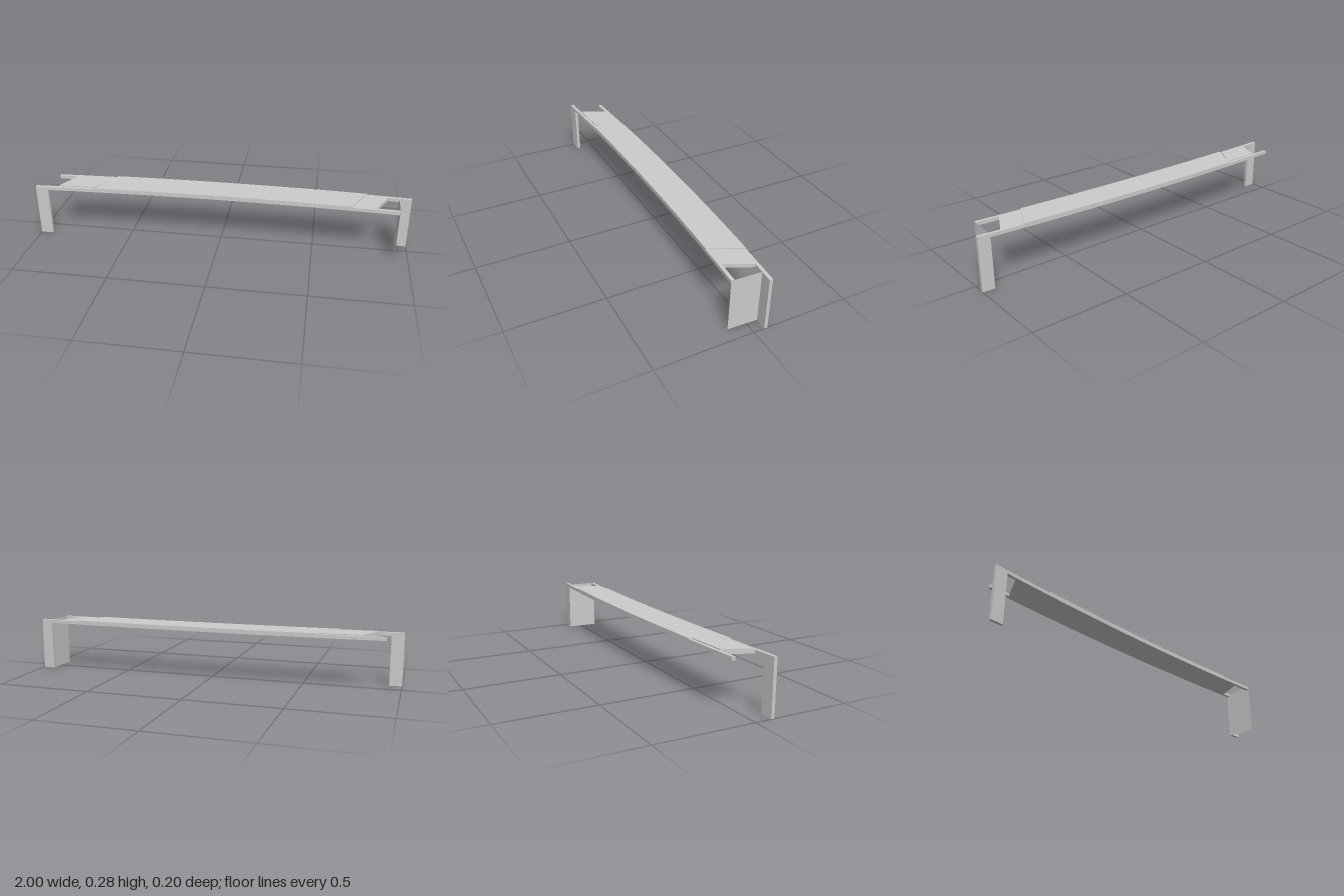
import * as THREE from 'three';

const material = new THREE.MeshStandardMaterial({ color: 0xcccccc, flatShading: true, side: THREE.DoubleSide });

// Plan curves of the gently bowed bridge, z as a function of x
const BEAM = 0.017;
const frontOuter = x => 0.07 + 0.03 * x * x;
const frontInner = x => frontOuter(x) - BEAM;
const backOuter = x => -0.1 + 0.03 * x * x;
const backInner = x => backOuter(x) + BEAM;

// Heights
const SOFFIT = 0.262, ROAD = 0.28, TOP = 0.285;

// Solid between two plan curves, each with its own x range, so ends may be skewed
function band(name, front, [f0, f1], back, [b0, b1], y0, y1, steps = 16) {
  const points = [];
  for (let i = 0; i <= steps; i++) {
    const x = f0 + (f1 - f0) * i / steps;
    points.push(new THREE.Vector2(x, -front(x)));
  }
  for (let i = steps; i >= 0; i--) {
    const x = b0 + (b1 - b0) * i / steps;
    points.push(new THREE.Vector2(x, -back(x)));
  }
  const geometry = new THREE.ExtrudeGeometry(new THREE.Shape(points), { depth: y1 - y0, bevelEnabled: false });
  geometry.rotateX(-Math.PI / 2);
  geometry.translate(0, y0, 0);
  const mesh = new THREE.Mesh(geometry, material);
  mesh.name = name;
  return mesh;
}

export function createModel() {
  const model = new THREE.Group();
  model.name = 'skewedBridge';

  // Edge beams, staggered by the skew
  const frontSpan = [-1, 0.93], backSpan = [-0.92, 1];
  model.add(band('frontEdgeBeam', frontOuter, frontSpan, frontInner, frontSpan, SOFFIT, ROAD));
  model.add(band('backEdgeBeam', backInner, backSpan, backOuter, backSpan, SOFFIT, ROAD));

  // Deck slab between the beams
  model.add(band('deckSlab', frontInner, [-0.875, 0.815], backInner, [-0.81, 0.88], SOFFIT, ROAD));

  // Raised surfacing: full width in the middle, inside the beams at the left end
  model.add(band('deckSurface', frontOuter, [-0.68, 0.69], backOuter, [-0.59, 0.77], ROAD, TOP));
  model.add(band('endSurface', frontInner, [-0.875, -0.68], backInner, [-0.81, -0.595], ROAD, TOP, 4));

  // Wing walls under the beam ends
  const rightWing = [0.938, 1], leftWing = [-1, -0.935];
  model.add(band('backWingWall', backInner, rightWing, backOuter, rightWing, 0, SOFFIT, 2));
  model.add(band('frontWingWall', frontOuter, leftWing, frontInner, leftWing, 0, SOFFIT, 2));

  // Thin abutment wall closing the left-hand end
  const a = [0.931, frontOuter(0.93)], b = [0.938, backInner(0.938)];
  const wall = new THREE.Mesh(new THREE.PlaneGeometry(Math.hypot(a[0] - b[0], a[1] - b[1]), ROAD), material);
  wall.position.set((a[0] + b[0]) / 2, ROAD / 2, (a[1] + b[1]) / 2);
  wall.rotation.y = Math.atan2(a[1] - b[1], b[0] - a[0]);
  wall.name = 'abutmentWall';
  model.add(wall);

  return model;
}
